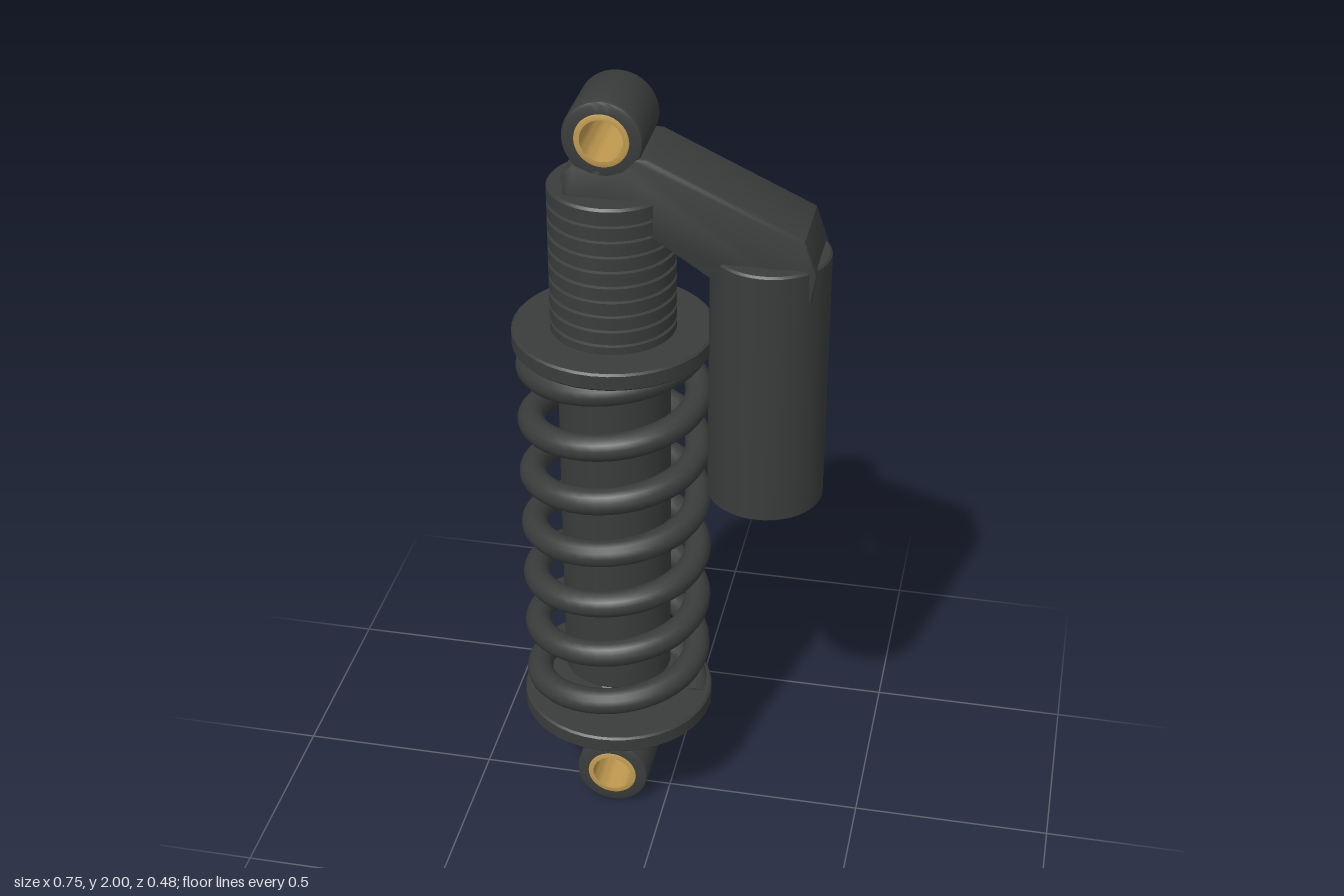
import * as THREE from 'three';
import { toCreasedNormals } from 'three/addons/utils/BufferGeometryUtils.js';

const AXIS = -0.136; // x of the damper axis
const mat = (color) => new THREE.MeshStandardMaterial({ color });

export function createModel() {
  const group = new THREE.Group();
  const dark = mat(0x3a3c3c), steel = mat(0x8f9a9c), bronze = mat(0xc09a50), red = mat(0xb0303a);

  const add = (name, geometry, material, x = AXIS, y = 0, z = 0) => {
    const mesh = new THREE.Mesh(geometry, material);
    mesh.name = name;
    mesh.position.set(x, y, z);
    group.add(mesh);
    return mesh;
  };
  // Turned part from [radius, height] pairs listed bottom to top
  const turned = (points, segments = 40) => toCreasedNormals(
    new THREE.LatheGeometry(points.map(([r, y]) => new THREE.Vector2(r, y)), segments), 0.6);
  // Solid disc or rod with small chamfers
  const rod = (r, y0, y1, c = 0.005, segments = 40) => turned(
    [[0, y0], [r - c, y0], [r, y0 + c], [r, y1 - c], [r - c, y1], [0, y1]], segments);
  // Hollow sleeve centred on the origin, lying along z
  const sleeve = (inner, outer, half, c) => turned([
    [inner, -half], [outer - c, -half], [outer - c * 0.3, -half + c * 0.3], [outer, -half + c],
    [outer, half - c], [outer - c * 0.3, half - c * 0.3], [outer - c, half],
    [inner, half], [inner, -half]]).rotateX(Math.PI / 2);

  // Mounting eyes with bushings
  for (const [name, y] of [['upper', 1.907], ['lower', 0.098]]) {
    add(name + 'Eye', sleeve(0.06, 0.094, 0.095, 0.01), dark, AXIS, y);
    add(name + 'Bushing', sleeve(0.05, 0.064, 0.097, 0.003), bronze, AXIS, y);
  }

  // Shaft, damper body and spring seats
  add('shaft', rod(0.053, 0.17, 0.5), steel);
  add('damperBody', rod(0.135, 0.41, 1.42), dark);
  add('lowerSpringSeat', rod(0.242, 0.29, 0.334), dark);
  add('preloadCollar', rod(0.242, 1.352, 1.396), dark);

  // Threaded upper body
  const thread = [[0, 1.39], [0.15, 1.39]];
  for (let i = 0; i < 9; i++) {
    const y = 1.42 + i * 0.038;
    thread.push([0.15, y - 0.005], [0.143, y - 0.002], [0.143, y + 0.002], [0.15, y + 0.005]);
  }
  thread.push([0.15, 1.76], [0.145, 1.766], [0, 1.766]);
  add('threadedBody', turned(thread, 48), dark);

  // Coil spring, seven turns
  class Helix extends THREE.Curve {
    getPoint(u, target = new THREE.Vector3()) {
      const t = -Math.PI + u * 14 * Math.PI;
      return target.set(-0.203 * Math.cos(t), 0.384 + 0.1505 * t / (2 * Math.PI), 0.203 * Math.sin(t));
    }
  }
  const helix = new Helix();
  add('spring', new THREE.TubeGeometry(helix, 280, 0.033, 14), dark);
  for (const u of [0, 1]) {
    const p = helix.getPoint(u);
    const cap = add('springEnd', new THREE.CircleGeometry(0.033, 14), dark, AXIS + p.x, p.y, p.z);
    cap.lookAt(cap.position.clone().addScaledVector(helix.getTangent(u), u ? 1 : -1));
  }

  // Arm carrying the reservoir
  const b = 0.008;
  const outline = [[-0.222, 1.74], [-0.06, 1.70], [-0.02, 1.683], [0.122, 1.59], [0.15, 1.55],
    [0.335, 1.55], [0.346, 1.62], [0.318, 1.70], [-0.035, 1.862], [-0.06, 1.862], [-0.09, 1.832],
    [-0.205, 1.832], [-0.222, 1.815]];
  const arm = new THREE.ExtrudeGeometry(
    new THREE.Shape(outline.map(([x, y]) => new THREE.Vector2(x, y))),
    { depth: 0.19 - 2 * b, bevelSize: b, bevelThickness: b, bevelSegments: 2 });
  arm.translate(0, 0, -0.095 + b);
  add('reservoirArm', toCreasedNormals(arm, 0.5), dark, 0);

  // Reservoir and adjuster knob
  add('reservoir', rod(0.14, 0.975, 1.63), dark, 0.235);
  const knob = add('adjusterKnob', rod(0.05, -0.035, 0.035, 0.004, 20), red, -0.022, 0.24);
  knob.rotation.z = Math.PI / 2;

  return group;
}
